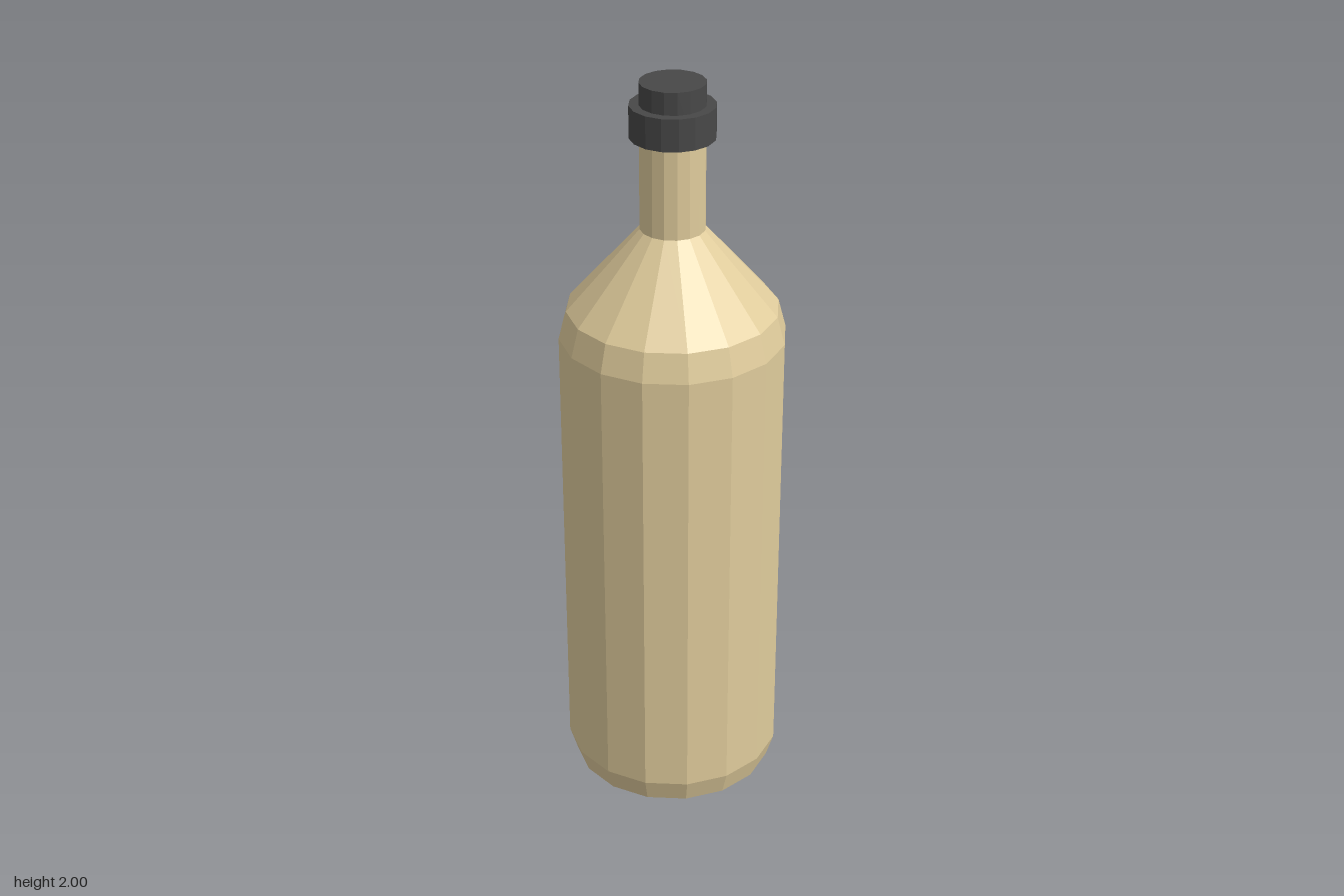
import * as THREE from 'three';

const SIDES = 16;

// Faceted solid of revolution from [radius, height] points, listed bottom to top
function turned(name, profile, color) {
  const points = profile.map(([r, y]) => new THREE.Vector2(r, y));
  const material = new THREE.MeshStandardMaterial({ color, flatShading: true });
  const mesh = new THREE.Mesh(new THREE.LatheGeometry(points, SIDES), material);
  mesh.name = name;
  return mesh;
}

export function createModel() {
  const group = new THREE.Group();
  group.name = 'bottle';
  const glass = 0xe0cc9c, dark = 0x484848;

  // Body with bevelled base and sloping shoulder
  group.add(turned('body', [
    [0, 0], [0.225, 0], [0.272, 0.035], [0.292, 0.1],
    [0.292, 1.33], [0.272, 1.405], [0.083, 1.62],
  ], glass));

  // Straight neck
  group.add(turned('neck', [[0.083, 1.62], [0.083, 1.88]], glass));

  // Collar around the mouth
  group.add(turned('collar', [
    [0.08, 1.86], [0.108, 1.86], [0.108, 1.943], [0.08, 1.943],
  ], dark));

  // Stopper standing out of the collar
  group.add(turned('stopper', [[0.083, 1.9], [0.083, 2], [0, 2]], dark));

  return group;
}
